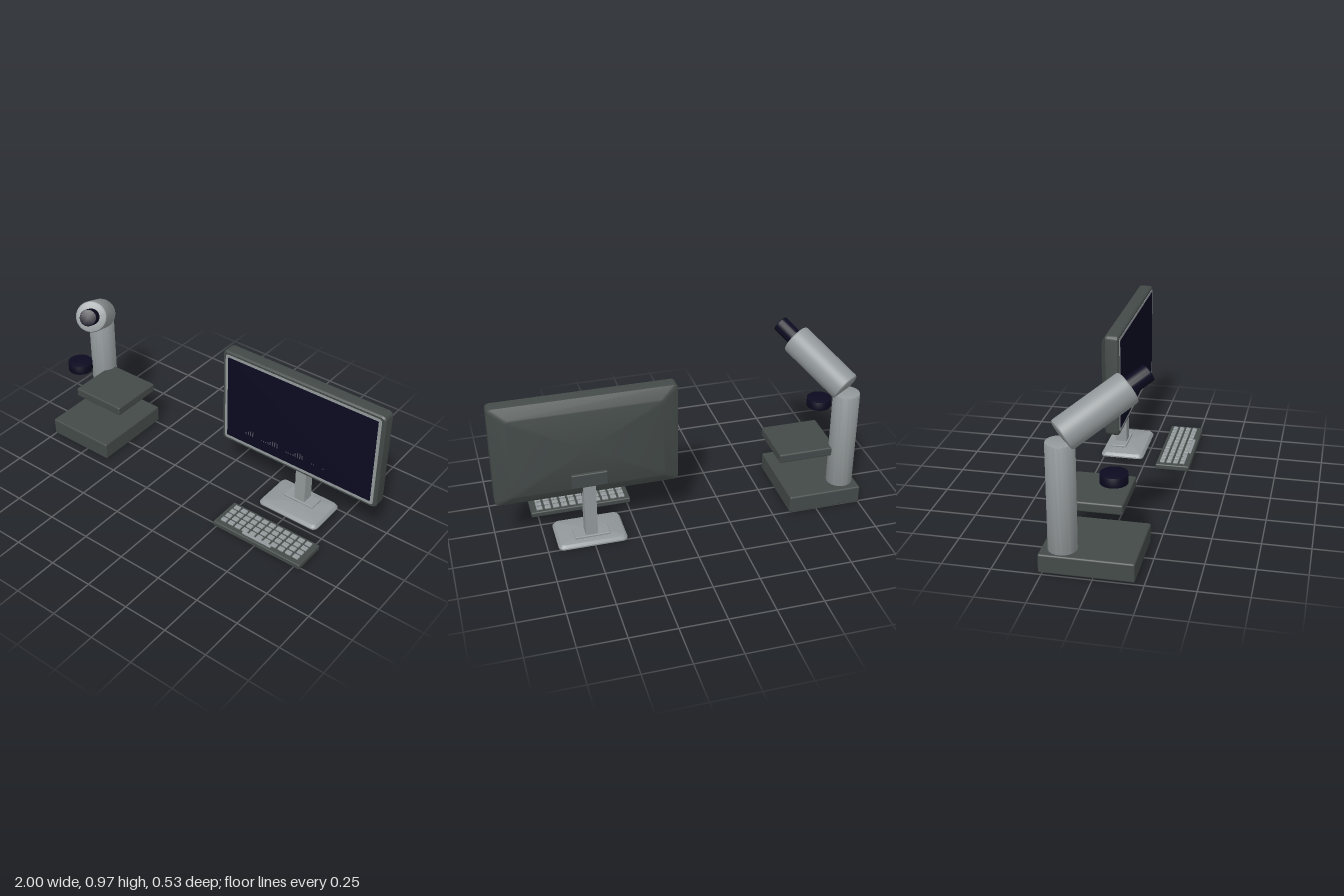
import * as THREE from 'three';
import { toCreasedNormals } from 'three/addons/utils/BufferGeometryUtils.js';
import { RoundedBoxGeometry } from 'three/addons/geometries/RoundedBoxGeometry.js';

const material = (name, color) => {
  const m = new THREE.MeshStandardMaterial({ color });
  m.name = name;
  return m;
};

export function createModel() {
  const charcoal = material('charcoal', 0x434a48);
  const silver = material('silver', 0x92989a);
  const navy = material('navyBlack', 0x0b0a20);
  const chartGrey = material('chartGrey', 0x4c4e58);

  const root = new THREE.Group();
  root.name = 'labDesk';
  const group = (name) => {
    const g = new THREE.Group();
    g.name = name;
    root.add(g);
    return g;
  };
  const add = (parent, name, geometry, mat, x = 0, y = 0, z = 0) => {
    const mesh = new THREE.Mesh(geometry, mat);
    mesh.name = name;
    mesh.position.set(x, y, z);
    parent.add(mesh);
    return mesh;
  };

  // Box given by its extents, with softened edges
  const block = (parent, name, mat, x0, x1, y0, y1, z0, z1, r = 0) => {
    const size = [x1 - x0, y1 - y0, z1 - z0];
    const geo = r ? new RoundedBoxGeometry(...size, 2, r) : new THREE.BoxGeometry(...size);
    return add(parent, name, geo, mat, (x0 + x1) / 2, (y0 + y1) / 2, (z0 + z1) / 2);
  };

  // Cylinder with bevelled rims, starting at y = 0
  const rod = (r, h, b) => toCreasedNormals(new THREE.LatheGeometry(
    [[0, 0], [r - b, 0], [r - b * 0.3, b * 0.3], [r, b], [r, h - b], [r - b * 0.3, h - b * 0.3], [r - b, h], [0, h]]
      .map(([x, y]) => new THREE.Vector2(x, y)), 40), 0.6);

  // Counter-clockwise rounded rectangle as a list of points
  const roundedRect = (w, h, r, z) => {
    const pts = [];
    const corners = [[1, 1], [-1, 1], [-1, -1], [1, -1]];
    corners.forEach(([sx, sy], c) => {
      for (let i = 0; i <= 4; i++) {
        const a = (c + i / 4) * Math.PI / 2;
        pts.push([sx * (w / 2 - r) + r * Math.cos(a), sy * (h / 2 - r) + r * Math.sin(a), z]);
      }
    });
    return pts;
  };

  // Solid through rounded rectangles [w, h, r, z], ordered by rising z
  const loft = (sections) => {
    const rings = sections.map((s) => roundedRect(...s));
    const n = rings[0].length;
    const last = rings.length - 1;
    const pos = [];
    const tri = (...p) => p.forEach((v) => pos.push(...v));
    for (let i = 0; i < n; i++) {
      const j = (i + 1) % n;
      for (let k = 0; k < last; k++) {
        const a = rings[k], b = rings[k + 1];
        tri(a[i], a[j], b[j]);
        tri(a[i], b[j], b[i]);
      }
      tri([0, 0, sections[0][3]], rings[0][j], rings[0][i]);
      tri([0, 0, sections[last][3]], rings[last][i], rings[last][j]);
    }
    const g = new THREE.BufferGeometry();
    g.setAttribute('position', new THREE.Float32BufferAttribute(pos, 3));
    return toCreasedNormals(g, 0.45);
  };

  // Microscope
  const scope = group('microscope');
  block(scope, 'microscopeBase', charcoal, -1, -0.59, 0.01, 0.11, -0.267, 0.205, 0.009);
  block(scope, 'stage', charcoal, -0.872, -0.548, 0.29, 0.342, -0.185, 0.122, 0.009);
  add(scope, 'column', rod(0.072, 0.57, 0.006), silver, -0.915, 0.1, -0.163);
  add(scope, 'focusDisc', rod(0.068, 0.05, 0.002), navy, -0.867, 0.461, 0.08);
  const lower = new THREE.Vector3(-0.911, 0.695, -0.158);
  const axis = new THREE.Vector3(0.505, 0.485, 0.715).normalize();
  const tilt = new THREE.Quaternion().setFromUnitVectors(new THREE.Vector3(0, 1, 0), axis);
  const tube = new THREE.Group();
  tube.name = 'opticalTube';
  tube.position.copy(lower);
  tube.quaternion.copy(tilt);
  scope.add(tube);
  add(tube, 'barrel', rod(0.085, 0.387, 0.012), silver);
  add(tube, 'eyepiece', rod(0.045, 0.145, 0.006), navy, 0, 0.36, 0);

  // Monitor
  const monitor = group('monitor');
  const cx = 0.5075, cy = 0.572;
  add(monitor, 'housing', loft([
    [0.80, 0.445, 0.02, -0.204],
    [0.82, 0.462, 0.02, -0.200],
    [0.972, 0.572, 0.024, -0.164],
    [0.976, 0.576, 0.024, -0.155],
    [0.976, 0.576, 0.024, -0.1],
    [0.962, 0.562, 0.02, -0.091],
  ]), charcoal, cx, cy, 0);
  add(monitor, 'screenBorder', loft([[0.938, 0.54, 0.014, -0.094], [0.938, 0.54, 0.014, -0.089]]), silver, cx, cy, 0);
  add(monitor, 'screen', loft([[0.904, 0.506, 0.004, -0.091], [0.904, 0.506, 0.004, -0.087]]), navy, cx, cy + 0.002, 0);

  // Small bar chart on the screen: [start x, bar heights]
  const chart = [
    [0.18, [0.012, 0.022, 0.03, 0.03]],
    [0.28, [0.006, 0.006, 0.006, 0.012, 0.022, 0.03, 0.034, 0.03]],
    [0.44, [0.006, 0.006, 0.006, 0.012, 0.022, 0.03, 0.034, 0.028]],
    [0.6, [0.006, 0.006, 0, 0, 0, 0.006]],
  ];
  for (const [start, heights] of chart) {
    heights.forEach((h, i) => {
      const x = start + i * 0.0145;
      if (h) block(monitor, 'chartBar', chartGrey, x, x + 0.006, 0.383, 0.383 + h, -0.088, -0.086);
    });
  }

  // Stand
  const stand = group('stand');
  block(stand, 'bracket', charcoal, 0.41, 0.602, 0.355, 0.436, -0.221, -0.18, 0.006);
  block(stand, 'neck', silver, 0.475, 0.54, 0.03, 0.37, -0.212, -0.145);
  const foot = add(stand, 'foot', loft([
    [0.372, 0.248, 0.03, 0.01],
    [0.372, 0.248, 0.03, 0.018],
    [0.35, 0.226, 0.025, 0.033],
    [0.34, 0.216, 0.02, 0.035],
  ]), silver, cx, 0, -0.143);
  foot.rotation.x = -Math.PI / 2;
  block(stand, 'neckCollar', silver, 0.41, 0.6, 0.033, 0.046, -0.222, -0.135, 0.004);

  // Keyboard
  const keyboard = group('keyboard');
  block(keyboard, 'keyboardCase', charcoal, 0.23, 0.786, 0.003, 0.034, 0.074, 0.267, 0.007);
  for (let row = 0; row < 4; row++) {
    for (let col = 0; col < 11; col++) {
      const x = 0.258 + col * 0.0462, z = 0.094 + row * 0.0385;
      block(keyboard, 'key', silver, x, x + 0.034, 0.03, 0.043, z, z + 0.027, 0.003);
    }
  }
  block(keyboard, 'spaceBar', silver, 0.41, 0.592, 0.03, 0.042, 0.236, 0.252, 0.003);

  return root;
}
